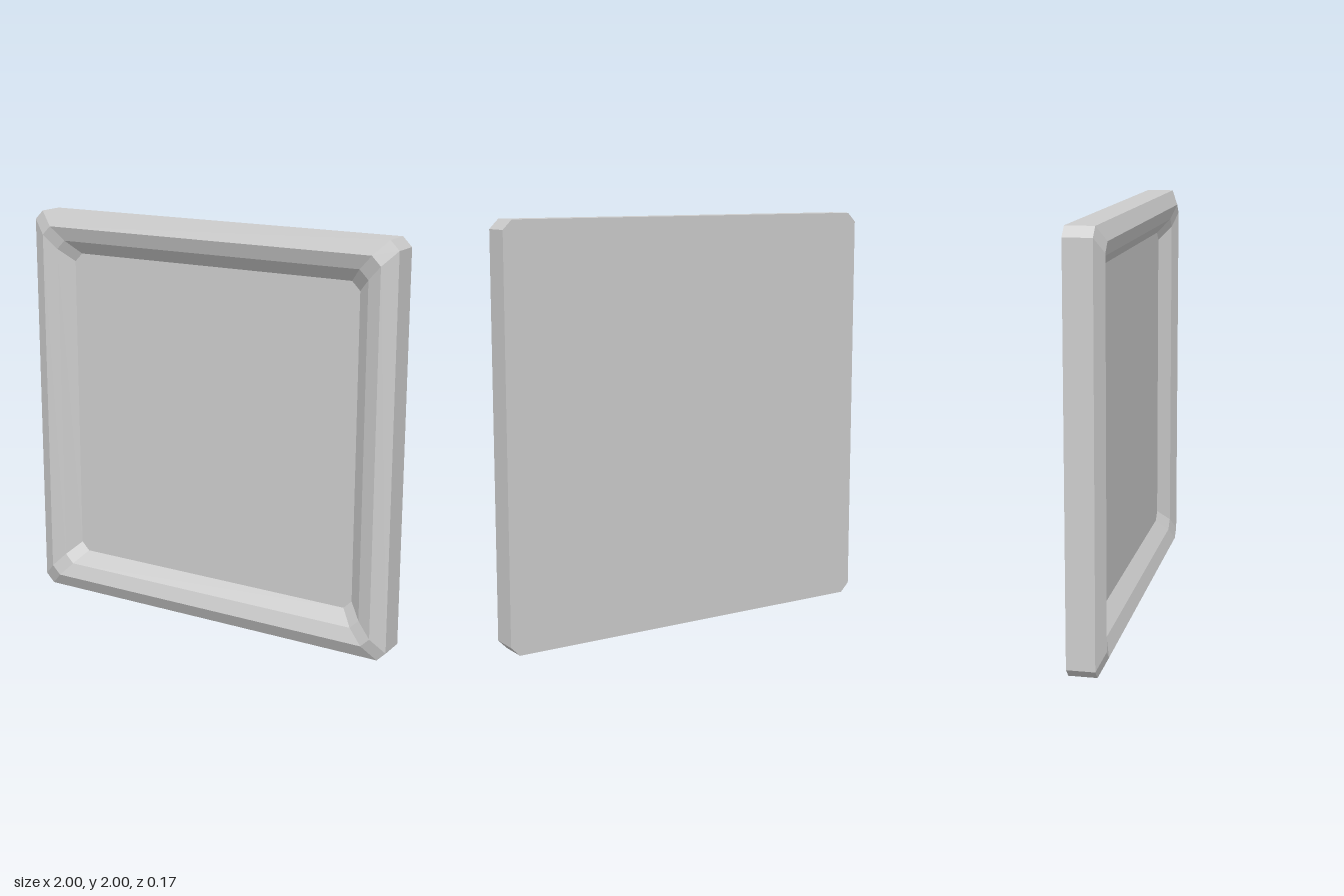
import * as THREE from 'three';

// Chamfered square outline, counter-clockwise seen from the front
function outline(half, cut) {
  const a = half, b = half - cut;
  return [[a, -b], [a, b], [b, a], [-b, a], [-a, b], [-a, -b], [-b, -a], [b, -a]];
}

// Flat-shaded strips joining successive outlines [half, cut, z]
function loft(rings) {
  const pos = [];
  const loops = rings.map(([h, c, z]) => outline(h, c).map(([x, y]) => [x, y + 1, z]));
  for (let r = 0; r < loops.length - 1; r++) {
    const p = loops[r], q = loops[r + 1];
    for (let i = 0; i < 8; i++) {
      const j = (i + 1) % 8;
      pos.push(...p[i], ...p[j], ...q[j], ...p[i], ...q[j], ...q[i]);
    }
  }
  const geo = new THREE.BufferGeometry();
  geo.setAttribute('position', new THREE.Float32BufferAttribute(pos, 3));
  geo.computeVertexNormals();
  return geo;
}

// Flat panel filling one outline
function panel([half, cut, z], facesBack) {
  const shape = new THREE.Shape(outline(half, cut).map(([x, y]) => new THREE.Vector2(x, y)));
  const geo = new THREE.ShapeGeometry(shape);
  if (facesBack) geo.rotateY(Math.PI);
  return geo.translate(0, 1, z);
}

export function createModel() {
  const group = new THREE.Group();
  const material = new THREE.MeshStandardMaterial({ color: 0xcccccc, flatShading: true });
  const add = (name, geo) => {
    const mesh = new THREE.Mesh(geo, material);
    mesh.name = name;
    group.add(mesh);
  };

  // Frame section: back edge, side, outer bevel, ridge, two inner slopes
  const rings = [
    [1, 0.045, -0.085],
    [1, 0.045, 0.048],
    [0.93, 0.045, 0.085],
    [0.86, 0.045, 0.06],
    [0.793, 0.042, 0],
  ];
  add('frame', loft(rings));
  add('frontPanel', panel(rings[rings.length - 1], false));
  add('backPanel', panel(rings[0], true));
  return group;
}
